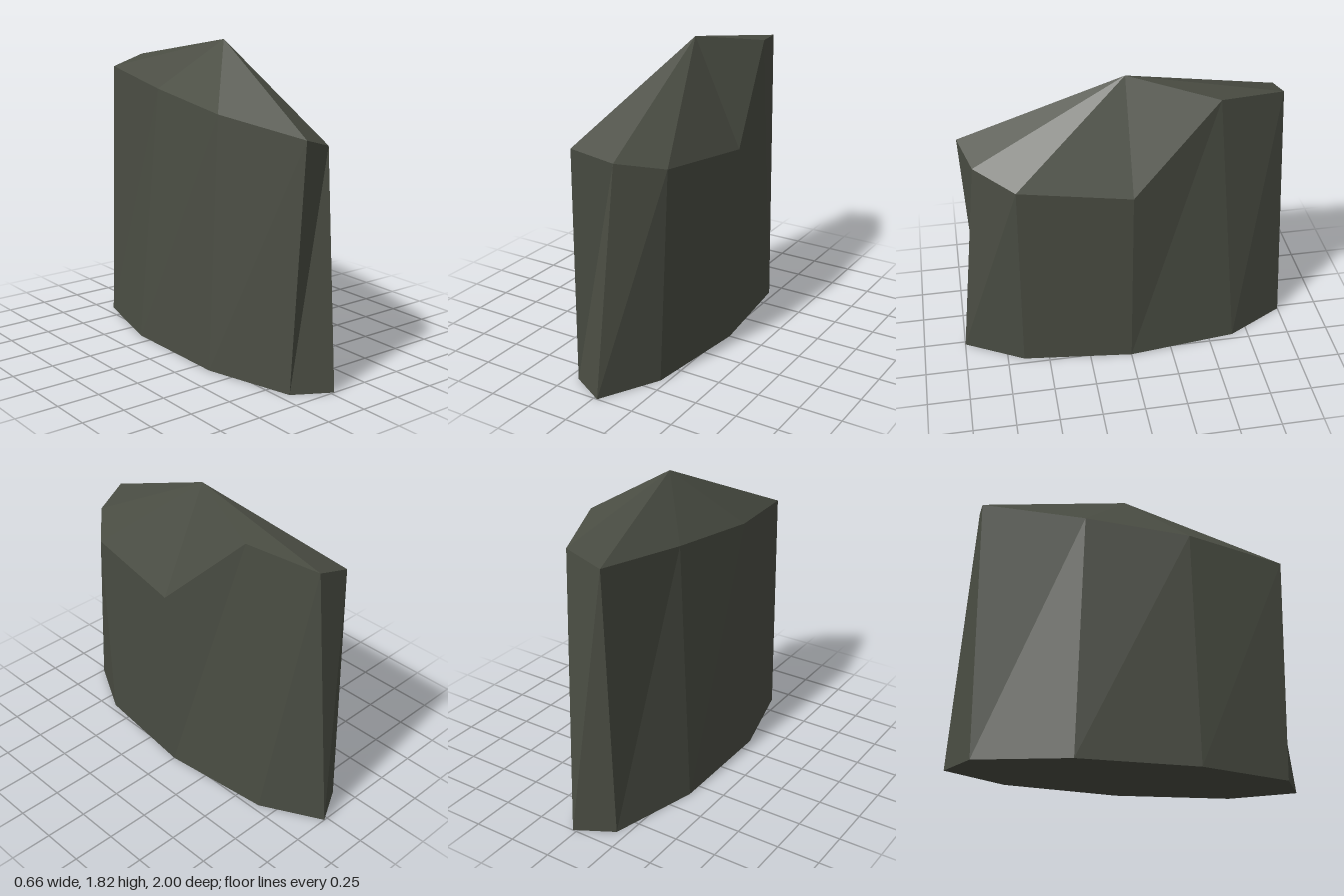
import * as THREE from 'three';

const SIDES = 9;

export function createModel() {
  const group = new THREE.Group();
  group.name = 'rockShard';
  const stone = new THREE.MeshStandardMaterial({ color: 0x4a4d43, flatShading: true });
  stone.name = 'dark mossy stone';

  // Foot: a regular nine-sided ellipse
  const base = [];
  for (let i = 0; i < SIDES; i++) {
    const a = (i / SIDES) * Math.PI * 2;
    base.push([-0.032 + 0.317 * Math.cos(a), 0, 1.015 * Math.sin(a)]);
  }

  // Shoulder: an uneven ring climbing steadily around the rock
  const shoulder = [
    [0.33, 0], [0.26, 0.64], [0.07, 0.86], [-0.145, 0.93], [-0.255, 0.33],
    [-0.22, -0.29], [-0.14, -0.89], [0.07, -0.89], [0.21, -0.5],
  ].map(([x, z], i) => [x, 1.2 + 0.0638 * i, z]);

  const peak = [0.04, 1.815, 0];
  const footCentre = [-0.032, 0, 0];

  // One mesh from a list of separate triangles
  const addPart = (name, triangles) => {
    const geometry = new THREE.BufferGeometry();
    geometry.setAttribute('position', new THREE.Float32BufferAttribute(triangles.flat(2), 3));
    geometry.computeVertexNormals();
    const mesh = new THREE.Mesh(geometry, stone);
    mesh.name = name;
    group.add(mesh);
  };

  const walls = [], cap = [], underside = [];
  for (let i = 0; i < SIDES; i++) {
    const j = (i + 1) % SIDES;
    walls.push([base[i], shoulder[i], base[j]], [shoulder[i], shoulder[j], base[j]]);
    cap.push([peak, shoulder[j], shoulder[i]]);
    underside.push([footCentre, base[i], base[j]]);
  }
  addPart('walls', walls);
  addPart('peak', cap);
  addPart('underside', underside);
  return group;
}
